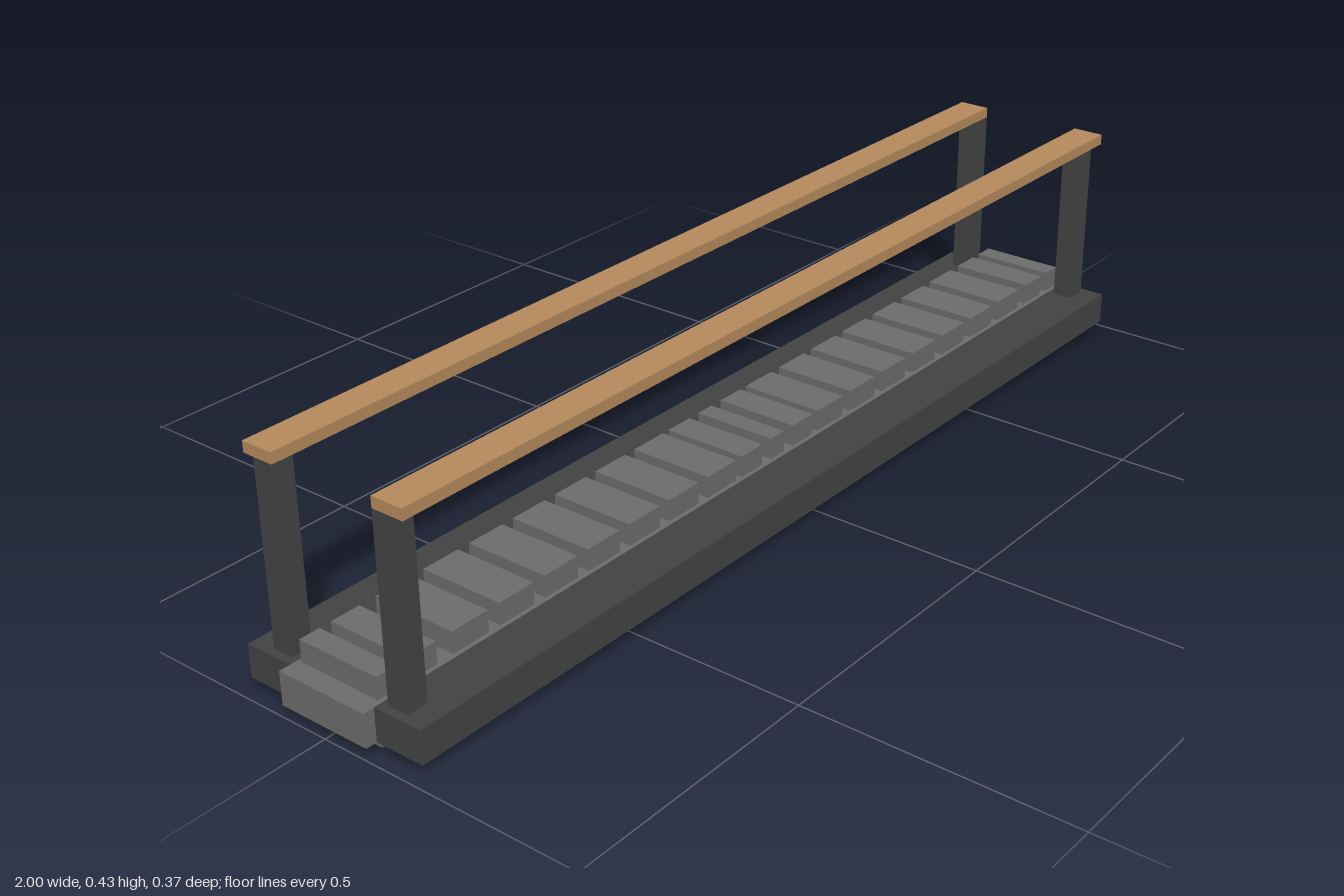
import * as THREE from 'three';

export function createModel() {
  const model = new THREE.Group();
  model.name = 'treadWalkway';

  const darkMetal = new THREE.MeshStandardMaterial({ color: 0x424242 });
  darkMetal.name = 'dark metal';
  const greyTread = new THREE.MeshStandardMaterial({ color: 0x6b6b6b });
  greyTread.name = 'grey tread';
  const tanWood = new THREE.MeshStandardMaterial({ color: 0xb5895c });
  tanWood.name = 'tan wood';

  // Box given by its minimum and maximum on each axis
  function box(name, material, [x0, x1], [y0, y1], [z0, z1]) {
    const mesh = new THREE.Mesh(new THREE.BoxGeometry(x1 - x0, y1 - y0, z1 - z0), material);
    mesh.position.set((x0 + x1) / 2, (y0 + y1) / 2, (z0 + z1) / 2);
    mesh.name = name;
    model.add(mesh);
  }
  const side = (s, a, b) => (s > 0 ? [a, b] : [-b, -a]);

  // Belt core, poking out at both ends
  box('beltCore', greyTread, [-1, 1], [0.022, 0.083], [-0.09, 0.09]);

  // Treads standing proud above and below the core: [centre, width]
  const treads = [[0, 0.038]];
  for (const s of [-1, 1]) {
    treads.push([s * 0.074, 0.058]);
    for (let i = 0; i < 7; i++) treads.push([s * (0.158 + i * 0.102), 0.077]);
    treads.push([s * 0.869 - 0.002, 0.058], [s * 0.94 - 0.003, 0.04]);
  }
  for (const [x, w] of treads) {
    box('tread', greyTread, [x - w / 2, x + w / 2], [0, 0.123], [-0.082, 0.082]);
  }

  // Side beams, posts and handrails
  for (const s of [-1, 1]) {
    box('sideBeam', darkMetal, [-0.979, 0.974], [0.022, 0.083], side(s, 0.09, 0.184));
    for (const x of [-0.943, 0.937]) {
      box('railPost', darkMetal, [x - 0.02, x + 0.02], [0.083, 0.41], side(s, 0.103, 0.143));
    }
    box('handrail', tanWood, [-0.963, 0.957], [0.41, 0.43], side(s, 0.103, 0.164));
  }

  return model;
}
